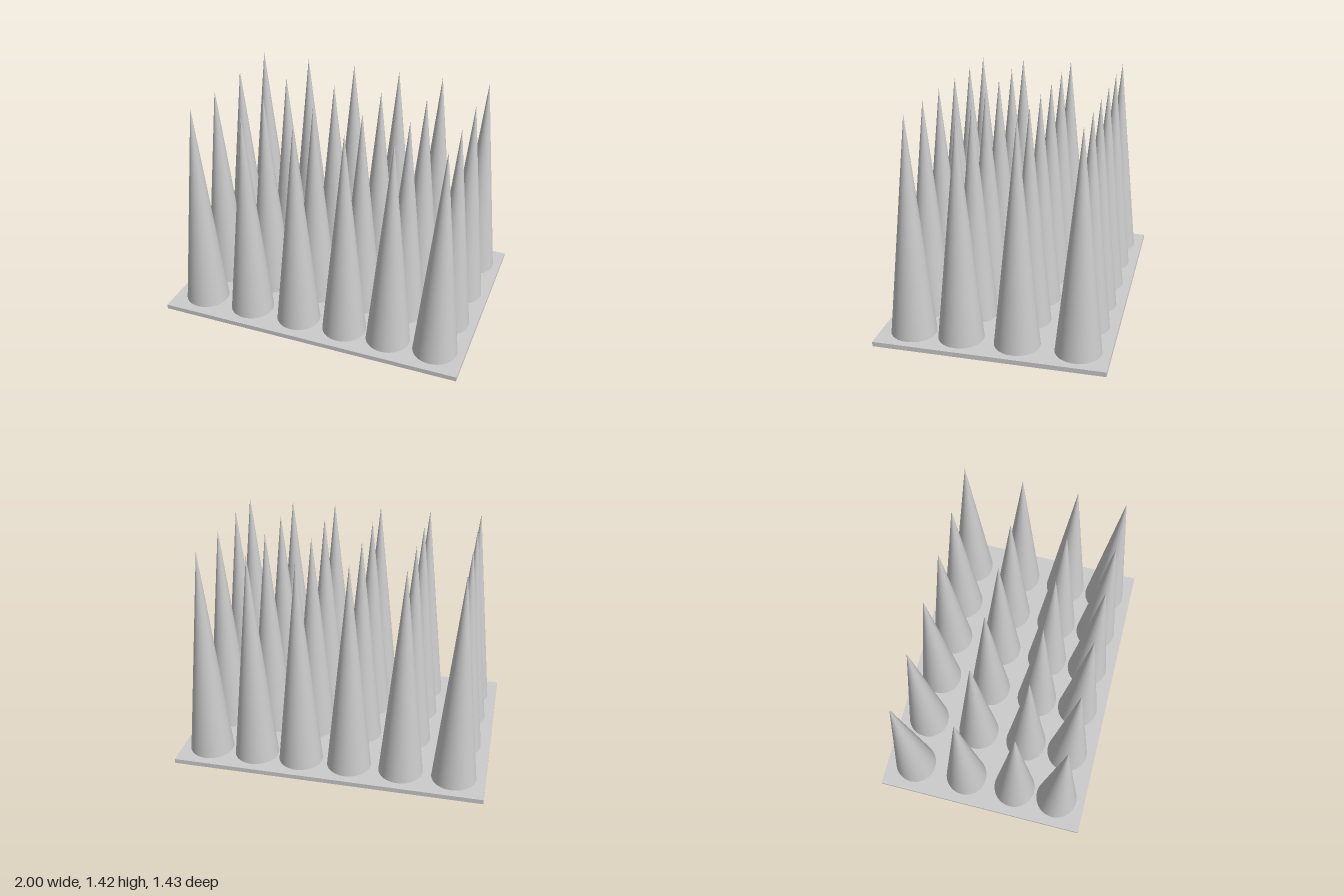
import * as THREE from 'three';

export function createModel() {
  const group = new THREE.Group();
  const material = new THREE.MeshStandardMaterial({ color: 0xcccccc });
  const plateHeight = 0.03;
  const spikeHeight = 1.39;

  // Flat base plate
  const plate = new THREE.Mesh(new THREE.BoxGeometry(2, plateHeight, 1.43), material);
  plate.name = 'basePlate';
  plate.position.y = plateHeight / 2;
  group.add(plate);

  // Slightly unevenly spaced grid of tall smooth spikes
  const columns = [-0.797, -0.457, -0.12, 0.2, 0.499, 0.81];
  const rows = [-0.518, -0.144, 0.208, 0.513];
  const spikeGeometry = new THREE.ConeGeometry(0.142, spikeHeight, 64);
  rows.forEach((z, r) => {
    columns.forEach((x, c) => {
      const spike = new THREE.Mesh(spikeGeometry, material);
      spike.name = `spikeRow${r + 1}Column${c + 1}`;
      spike.position.set(x, plateHeight + spikeHeight / 2, z);
      group.add(spike);
    });
  });

  return group;
}
